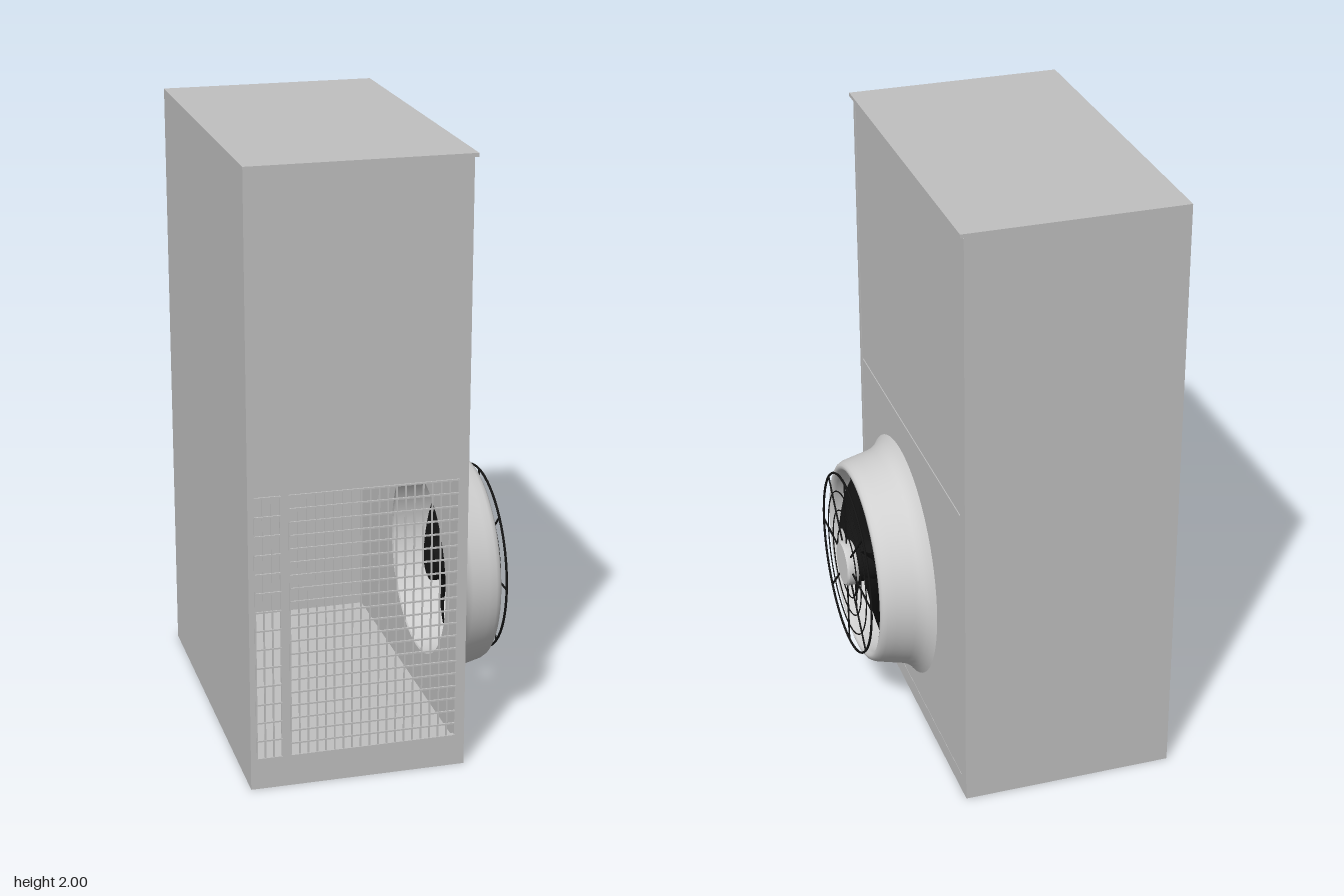
import * as THREE from 'three';
import { toCreasedNormals } from 'three/addons/utils/BufferGeometryUtils.js';

const panelGrey = new THREE.MeshStandardMaterial({ color: 0xc0c0c0 });
const shroudGrey = new THREE.MeshStandardMaterial({ color: 0xd0d0d0, side: THREE.DoubleSide });
const fanBlack = new THREE.MeshStandardMaterial({ color: 0x141414, side: THREE.DoubleSide });

function add(parent, name, geometry, material) {
  const mesh = new THREE.Mesh(geometry, material);
  mesh.name = name;
  parent.add(mesh);
  return mesh;
}

// Box given by its minimum and maximum on each axis
function box(parent, name, x0, x1, y0, y1, z0, z1, material = panelGrey) {
  const mesh = add(parent, name, new THREE.BoxGeometry(x1 - x0, y1 - y0, z1 - z0), material);
  mesh.position.set((x0 + x1) / 2, (y0 + y1) / 2, (z0 + z1) / 2);
  return mesh;
}

function rectangle(Type, x0, x1, y0, y1) {
  const s = new Type();
  s.moveTo(x0, y0).lineTo(x1, y0).lineTo(x1, y1).lineTo(x0, y1).closePath();
  return s;
}

// Wire mesh filling a rectangular opening in the front panel
function grille(parent, name, x0, x1, y0, y1, columns, rows) {
  const g = new THREE.Group();
  g.name = name;
  const t = 0.0025;
  for (let i = 0; i <= columns; i++) {
    const x = x0 + (x1 - x0) * i / columns;
    box(g, 'uprightWire', x - t, x + t, y0, y1, 0.598, 0.603);
  }
  for (let j = 0; j <= rows; j++) {
    const y = y0 + (y1 - y0) * j / rows;
    box(g, 'crossWire', x0, x1, y - t, y + t, 0.601, 0.606);
  }
  parent.add(g);
}

// One swept, twisted blade: u runs across it, v from root to tip
function bladeGeometry() {
  const geo = new THREE.PlaneGeometry(1, 1, 8, 10);
  const p = geo.attributes.position;
  for (let i = 0; i < p.count; i++) {
    const u = p.getX(i), v = p.getY(i) + 0.5;
    const r = 0.06 + 0.242 * v;
    const sweep = 0.26 * (1 - v) - 0.22 * Math.sin(Math.PI * v) * (0.5 + u);
    const angle = u * 0.97 + sweep;
    p.setXYZ(i, r * Math.cos(angle), r * Math.sin(angle), u * (0.075 - 0.03 * v));
  }
  geo.computeVertexNormals();
  return geo;
}

function buildFan() {
  const fan = new THREE.Group();
  fan.name = 'fan';

  // Flared shroud with a rounded mouth and a straight throat
  const profile = [
    [0.31, -0.01], [0.31, 0.15], [0.314, 0.163], [0.322, 0.169], [0.33, 0.167], [0.338, 0.161],
    [0.345, 0.148], [0.352, 0.12], [0.366, 0.06], [0.373, 0.04], [0.383, 0.025], [0.396, 0.011], [0.411, 0],
  ].map(([r, h]) => new THREE.Vector2(r, h));
  const shroud = add(fan, 'shroud', new THREE.LatheGeometry(profile.reverse(), 64), shroudGrey);
  shroud.rotation.x = Math.PI / 2;

  // Five blades
  const blade = bladeGeometry();
  for (let i = 0; i < 5; i++) {
    const m = add(fan, 'blade', blade, fanBlack);
    m.position.z = 0.12;
    m.rotation.z = THREE.MathUtils.degToRad(-56 + 72 * i);
  }

  // Motor and hub cap
  const motor = add(fan, 'motor', new THREE.CylinderGeometry(0.07, 0.07, 0.16, 40), fanBlack);
  motor.rotation.x = Math.PI / 2;
  motor.position.z = 0.105;
  const capProfile = [[0, 0.17], [0.073, 0.17], [0.077, 0.176], [0.077, 0.204], [0.072, 0.21], [0, 0.21]]
    .map(([r, h]) => new THREE.Vector2(r, h));
  const cap = add(fan, 'hubCap', toCreasedNormals(new THREE.LatheGeometry(capProfile, 40), 0.6), shroudGrey);
  cap.rotation.x = Math.PI / 2;

  // Guard of thin rings and spokes
  for (const r of [0.12, 0.18, 0.245, 0.308]) {
    const t = r > 0.3 ? 0.004 : 0.0022;
    add(fan, 'guardRing', new THREE.TorusGeometry(r, t, 6, 64), fanBlack).position.z = 0.193;
  }
  for (let i = 0; i < 8; i++) {
    const a = i * Math.PI / 4;
    const spoke = add(fan, 'guardSpoke', new THREE.BoxGeometry(0.235, 0.005, 0.005), fanBlack);
    spoke.position.set(Math.cos(a) * 0.19, Math.sin(a) * 0.19, 0.193);
    spoke.rotation.z = a;
  }

  fan.rotation.y = Math.PI / 2;
  fan.position.set(0.245, 0.512, 0.12);
  return fan;
}

export function createModel() {
  const model = new THREE.Group();
  model.name = 'ventilationCabinet';

  // Hollow cabinet shell
  box(model, 'base', -0.455, 0.245, 0, 0.06, -0.6, 0.6);
  box(model, 'roof', -0.455, 0.245, 1.985, 2, -0.6, 0.6);
  box(model, 'roofLip', 0.245, 0.258, 1.988, 2, -0.6, 0.6);
  box(model, 'leftWall', -0.455, -0.44, 0.06, 1.985, -0.6, 0.585);
  box(model, 'backWall', -0.44, 0.23, 0.06, 1.985, -0.6, -0.585);
  box(model, 'shelf', -0.44, 0.232, 1.02, 1.06, -0.585, 0.585);

  // Front panel with two openings
  const openings = [[-0.435, -0.353], [-0.325, 0.213]];
  const front = rectangle(THREE.Shape, -0.455, 0.245, 0.06, 1.985);
  for (const [x0, x1] of openings) front.holes.push(rectangle(THREE.Path, x0, x1, 0.105, 0.98));
  const frontPanel = add(model, 'frontPanel',
    new THREE.ExtrudeGeometry(front, { depth: 0.015, bevelEnabled: false }), panelGrey);
  frontPanel.position.z = 0.585;
  grille(model, 'narrowGrille', ...openings[0], 0.105, 0.98, 3, 14);
  grille(model, 'wideGrille', ...openings[1], 0.105, 0.98, 19, 20);

  // Corner posts beside the service panels
  box(model, 'rearPost', 0.23, 0.247, 0.06, 1.985, -0.6, -0.552);
  box(model, 'frontPost', 0.23, 0.247, 0.06, 1.985, 0.575, 0.585);

  // Upper service panel and lower panel with the fan opening
  box(model, 'upperSidePanel', 0.23, 0.244, 1.042, 1.985, -0.552, 0.575);
  const side = rectangle(THREE.Shape, -0.575, 0.552, 0.06, 1.036);
  const hole = new THREE.Path();
  hole.absarc(-0.12, 0.512, 0.312, 0, Math.PI * 2, true);
  side.holes.push(hole);
  const sidePanel = add(model, 'lowerSidePanel',
    new THREE.ExtrudeGeometry(side, { depth: 0.014, bevelEnabled: false, curveSegments: 48 }), panelGrey);
  sidePanel.rotation.y = Math.PI / 2;
  sidePanel.position.x = 0.23;

  model.add(buildFan());
  return model;
}
